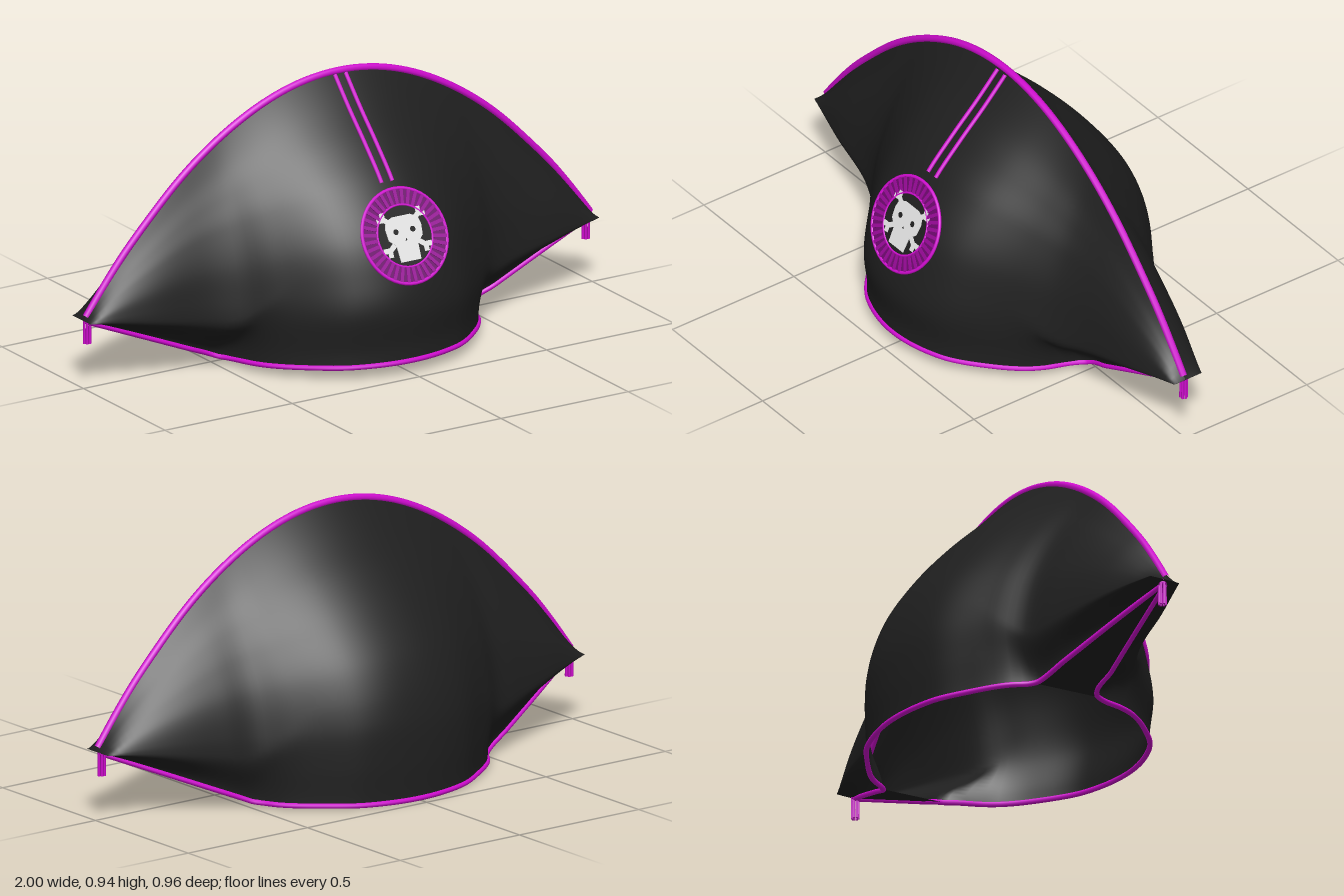
import * as THREE from 'three';

const black = new THREE.MeshStandardMaterial({ color: 0x1f1f1f, side: THREE.DoubleSide });
black.name = 'black felt';
const magenta = new THREE.MeshStandardMaterial({ color: 0xd00cd0 });
magenta.name = 'magenta trim';
const purple = new THREE.MeshStandardMaterial({ color: 0x980a98 });
purple.name = 'purple ribbon';
const plum = new THREE.MeshStandardMaterial({ color: 0x6e086e });
plum.name = 'plum ribbon fold';
const white = new THREE.MeshStandardMaterial({ color: 0xe4e4e4 });
white.name = 'bone white';

// Smooth curve through [x, y] points, starting at the given slope
function smooth(pts, startSlope = 0) {
  const slope = (i) => {
    if (i === 0) return startSlope;
    const a = pts[i - 1], b = pts[Math.min(i + 1, pts.length - 1)];
    return (b[1] - a[1]) / (b[0] - a[0]);
  };
  return (x) => {
    let i = 0;
    while (i < pts.length - 2 && x > pts[i + 1][0]) i++;
    const [x0, y0] = pts[i], [x1, y1] = pts[i + 1];
    const d = x1 - x0, t = (x - x0) / d, t2 = t * t, t3 = t2 * t;
    return (2 * t3 - 3 * t2 + 1) * y0 + (t3 - 2 * t2 + t) * d * slope(i)
      + (3 * t2 - 2 * t3) * y1 + (t3 - t2) * d * slope(i + 1);
  };
}

// Per side: widest bulge, lower edge and fore-and-aft profile of the felt
const front = {
  sign: 1,
  rise: 0.05,
  width: smooth([[0, 0.475], [0.2, 0.43], [0.4, 0.27], [0.5, 0.185], [0.6, 0.14], [0.8, 0.1], [1, 0.045]]),
  edge: smooth([[0, 0.46], [0.2, 0.415], [0.33, 0.315], [0.43, 0.19], [0.485, 0.04], [0.6, 0.027], [1, 0]]),
  profile: smooth([[0, 0], [0.12, 0.21], [0.23, 0.42], [0.35, 0.63], [0.515, 0.84], [0.67, 0.95], [0.8, 1], [0.94, 0.97], [1, 0.97]], 1.75),
};
const back = {
  sign: -1,
  rise: 0.033,
  width: smooth([[0, 0.482], [0.2, 0.45], [0.4, 0.325], [0.5, 0.25], [0.6, 0.215], [0.8, 0.15], [1, 0.068]]),
  edge: smooth([[0, 0.468], [0.2, 0.432], [0.33, 0.355], [0.43, 0.275], [0.485, 0.2], [0.6, 0.155], [0.8, 0.08], [1, 0]]),
  profile: smooth([[0, 0], [0.114, 0.21], [0.22, 0.42], [0.345, 0.63], [0.505, 0.835], [0.69, 0.96], [0.85, 1], [1, 1]], 1.84),
};
const ridge = smooth([[0, 0.932], [0.2, 0.904], [0.4, 0.821], [0.6, 0.685], [0.8, 0.491], [0.9, 0.374], [1, 0.24]]);
const wingStart = 0.485;

function edgePoint(side, x) {
  const a = Math.abs(x), z = side.sign * side.edge(a);
  return new THREE.Vector3(x, 0.026 + side.rise * z + 0.412 * Math.max(0, a - wingStart), z);
}

function feltPoint(side, x, h) {
  const a = Math.abs(x), bottom = edgePoint(side, x), w = side.width(a);
  // the wings stay full almost to their lower edge, then turn under sharply
  const tuckStart = 0.6 + 0.2 * THREE.MathUtils.smoothstep(a, 0.3, 0.55);
  const tuck = THREE.MathUtils.smoothstep(h, tuckStart, 1);
  // the profile starts at zero, so the two sides meet along the ridge
  const z = w * side.profile(h) + (side.edge(a) - w * side.profile(1)) * tuck;
  return new THREE.Vector3(x, THREE.MathUtils.lerp(ridge(a), bottom.y, h), side.sign * z);
}

function gridGeometry(nu, nv, point, flip) {
  const pos = [], index = [];
  for (let i = 0; i <= nu; i++)
    for (let j = 0; j <= nv; j++) pos.push(...point(i / nu, j / nv).toArray());
  for (let i = 0; i < nu; i++)
    for (let j = 0; j < nv; j++) {
      const a = i * (nv + 1) + j, b = a + 1, c = a + nv + 1, d = c + 1;
      if (flip) index.push(a, c, b, b, c, d);
      else index.push(a, b, c, b, d, c);
    }
  const g = new THREE.BufferGeometry();
  g.setAttribute('position', new THREE.Float32BufferAttribute(pos, 3));
  g.setIndex(index);
  g.computeVertexNormals();
  return g;
}

function add(parent, name, geometry, material, x = 0, y = 0, z = 0) {
  const mesh = new THREE.Mesh(geometry, material);
  mesh.name = name;
  mesh.position.set(x, y, z);
  parent.add(mesh);
  return mesh;
}

function tube(parent, name, n, point, radius) {
  const pts = Array.from({ length: n + 1 }, (_, i) => point(i / n));
  return add(parent, name, new THREE.TubeGeometry(new THREE.CatmullRomCurve3(pts), n * 2, radius, 8), magenta);
}

function makeTassel(sx) {
  const g = new THREE.Group();
  g.name = sx > 0 ? 'leftTassel' : 'rightTassel';
  g.position.set(sx * 0.98, 0.235, -0.008);
  add(g, 'tasselKnot', new THREE.SphereGeometry(0.014, 10, 8), magenta);
  for (let i = 0; i < 6; i++) {
    const a = (i / 6) * Math.PI * 2;
    add(g, 'tasselStrand', new THREE.CylinderGeometry(0.004, 0.005, 0.08, 6), magenta,
      Math.cos(a) * 0.011, -0.04, Math.sin(a) * 0.01);
  }
  return g;
}

function makeBadge() {
  const g = new THREE.Group();
  g.name = 'badge';
  g.position.set(0, 0.469, 0.409);
  g.rotation.x = -0.456;
  add(g, 'badgeCentre', new THREE.CircleGeometry(0.108, 40), black, 0, 0, 0.003);
  // pleated ribbon: a flat ring with raised folds
  add(g, 'ribbonRing', new THREE.RingGeometry(0.1, 0.162, 64), plum, 0, 0, 0.002);
  const pleats = 36;
  for (let i = 0; i < pleats; i++) {
    const a = (i / pleats) * Math.PI * 2;
    add(g, 'ribbonPleat', new THREE.BoxGeometry(0.054, 0.012, 0.006), purple,
      Math.cos(a) * 0.132, Math.sin(a) * 0.132, 0.002).rotation.z = a;
  }
  add(g, 'outerCord', new THREE.TorusGeometry(0.161, 0.006, 8, 48), magenta);
  add(g, 'innerCord', new THREE.TorusGeometry(0.105, 0.004, 8, 40), magenta, 0, 0, 0.002);

  // skull over crossed bones
  const half = [[0.035, 0.068], [0.062, 0.056], [0.07, 0.03], [0.066, -0.008], [0.042, -0.03], [0.039, -0.086]];
  const outline = [...half, ...half.map(([x, y]) => [-x, y]).reverse()];
  const skull = new THREE.Shape(outline.map(([x, y]) => new THREE.Vector2(x, y)));
  add(g, 'skull', new THREE.ExtrudeGeometry(skull, { depth: 0.003, bevelEnabled: false }), white, 0, 0, 0.003);
  for (const s of [-1, 1]) {
    const bone = add(g, 'crossbone', new THREE.BoxGeometry(0.19, 0.018, 0.004), white, 0, 0.012, 0.003);
    bone.rotation.z = s * 0.66;
    for (const e of [-1, 1]) {
      add(g, 'boneEnd', new THREE.BoxGeometry(0.028, 0.018, 0.004), white, e * 0.08, 0.012 + s * e * 0.052, 0.003);
      add(g, 'boneEnd', new THREE.BoxGeometry(0.018, 0.028, 0.004), white, e * 0.07, 0.012 + s * e * 0.062, 0.003);
    }
    add(g, 'eyeSocket', new THREE.CircleGeometry(0.01, 12), black, s * 0.033, 0.017, 0.007);
  }
  add(g, 'noseHole', new THREE.CircleGeometry(0.005, 3), black, 0, -0.014, 0.007).rotation.z = Math.PI / 2;
  return g;
}

export function createModel() {
  const hat = new THREE.Group();
  hat.name = 'hat';

  for (const [name, side] of [['front', front], ['back', back]]) {
    add(hat, name + 'Felt',
      gridGeometry(100, 48, (u, v) => feltPoint(side, u * 2 - 1, v), side.sign < 0), black);
    tube(hat, name + 'BrimTrim', 80, (t) => edgePoint(side, (t * 2 - 1) * 0.985), 0.009);
  }

  for (const s of [-1, 1]) {
    // panel closing the underside of the wing
    add(hat, s > 0 ? 'leftWingUnderside' : 'rightWingUnderside', gridGeometry(25, 6, (u, v) => {
      const x = s * THREE.MathUtils.lerp(wingStart, 1, u);
      return edgePoint(front, x).lerp(edgePoint(back, x), v);
    }, s > 0), black);
    hat.add(makeTassel(s));
    // cord running from the ridge down to the badge
    tube(hat, 'frontCord', 12, (t) => feltPoint(front, s * 0.021, 0.015 + 0.335 * t)
      .add(new THREE.Vector3(0, 0.003, 0.003)), 0.007);
  }

  tube(hat, 'ridgeTrim', 40, (t) => {
    const x = (t * 2 - 1) * 0.99;
    return new THREE.Vector3(x, ridge(Math.abs(x)) - 0.003, 0);
  }, 0.0125);

  hat.add(makeBadge());
  return hat;
}
